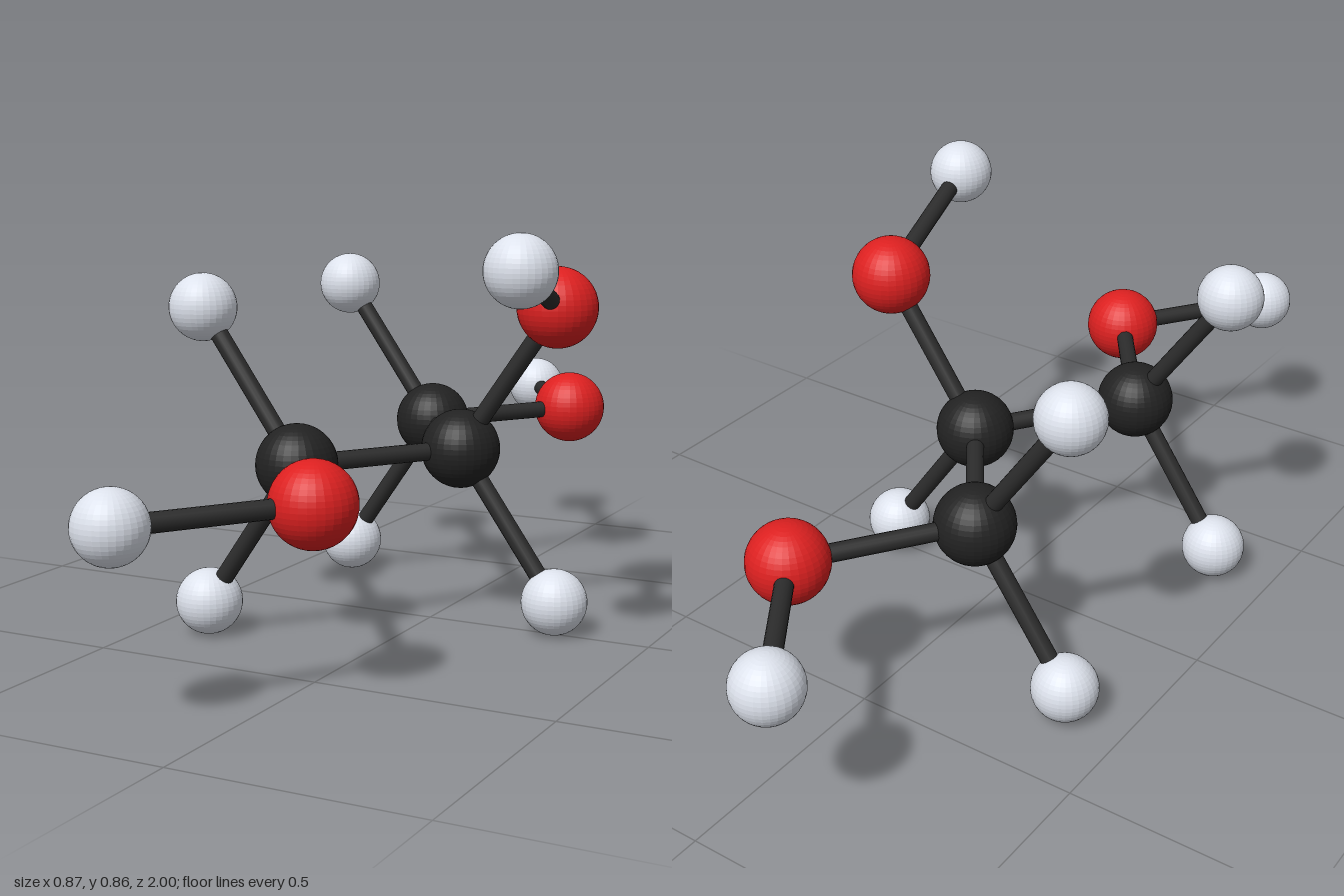
import * as THREE from 'three';

const material = (color, flatShading) => new THREE.MeshStandardMaterial({ color, flatShading });

export function createModel() {
  const model = new THREE.Group();
  model.name = 'ballAndStickMolecule';

  // Ball types: radius and colour
  const ball = (radius, color) => ({
    geometry: new THREE.SphereGeometry(radius, 32, 24),
    material: material(color, true),
  });
  const kinds = {
    carbon: ball(0.084, 0x222222),
    oxygen: ball(0.084, 0xdd2020),
    hydrogen: ball(0.07, 0xdde2ec),
  };
  const bondMaterial = material(0x2c2c2c, false);
  const up = new THREE.Vector3(0, 1, 0);

  // Adds a ball and, if it has a parent, the rod joining the two centres
  function atom(kind, name, x, y, z, parent) {
    const mesh = new THREE.Mesh(kinds[kind].geometry, kinds[kind].material);
    mesh.name = name;
    mesh.position.set(x, y, z);
    model.add(mesh);
    if (parent) {
      const dir = mesh.position.clone().sub(parent.position);
      const length = dir.length();
      const rod = new THREE.Mesh(new THREE.CylinderGeometry(0.019, 0.019, length, 16), bondMaterial);
      rod.name = name + 'Bond';
      rod.position.copy(parent.position).addScaledVector(dir, 0.5);
      rod.quaternion.setFromUnitVectors(up, dir.divideScalar(length));
      model.add(rod);
    }
    return mesh;
  }

  // Middle of the chain
  const mid = 0.382, low = 0.072, high = 0.692;
  const centre = atom('carbon', 'centreCarbon', 0.072, mid, 0);
  atom('hydrogen', 'centreHydrogen', 0.29, low, 0, centre);
  const topOxygen = atom('oxygen', 'topOxygen', 0.29, high, 0, centre);
  atom('hydrogen', 'topHydrogen', 0.363, 0.795, 0.36, topOxygen);

  // Mirrored front and back arms
  for (const [side, s] of [['front', 1], ['back', -1]]) {
    const carbon = atom('carbon', side + 'Carbon', -0.147, mid, s * 0.31, centre);
    atom('hydrogen', side + 'UpperHydrogen', -0.365, high, s * 0.31, carbon);
    atom('hydrogen', side + 'LowerHydrogen', -0.365, low, s * 0.31, carbon);
    const oxygen = atom('oxygen', side + 'Oxygen', 0.072, mid, s * 0.62, carbon);
    atom('hydrogen', side + 'EndHydrogen', -0.147, mid, s * 0.93, oxygen);
  }
  return model;
}
